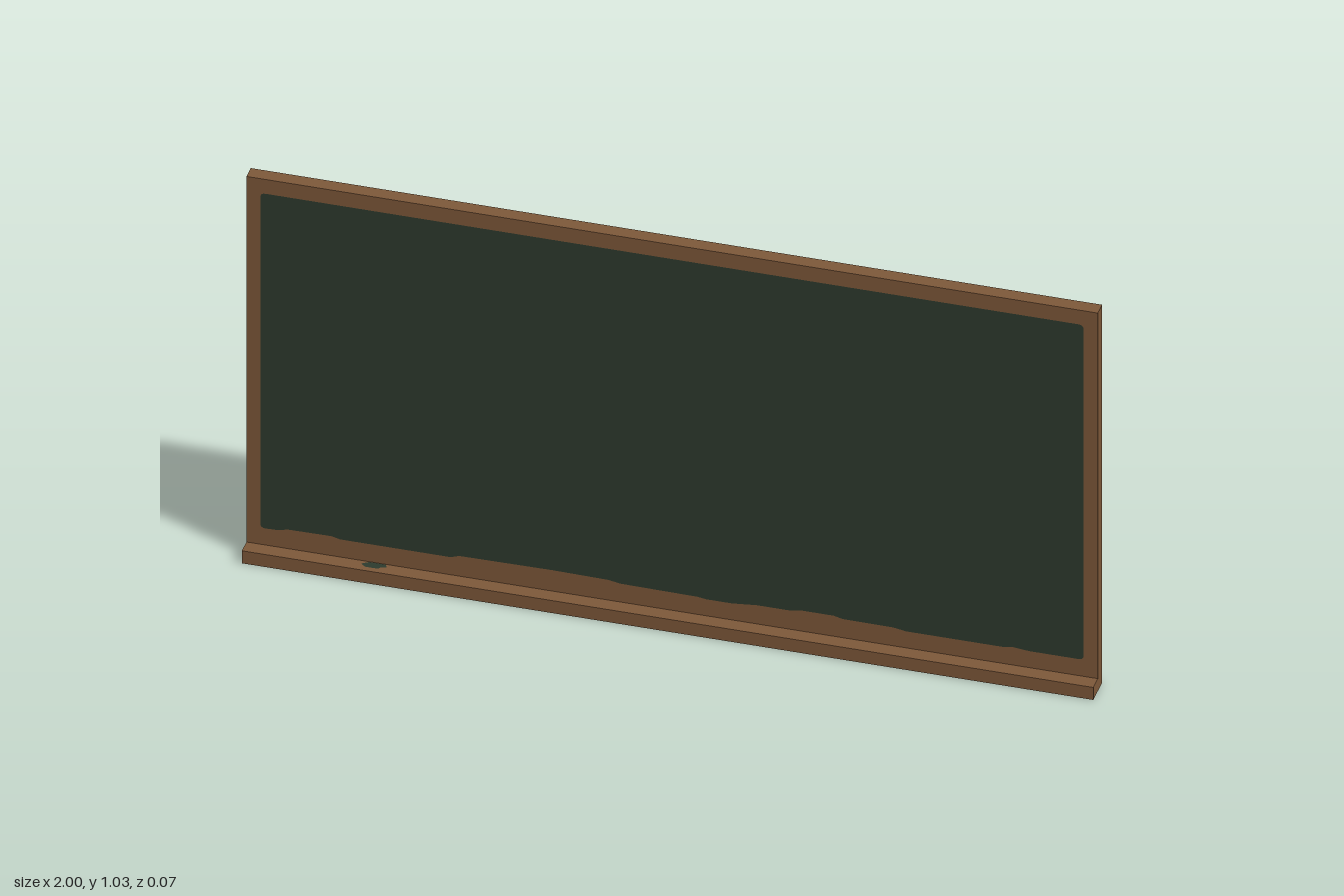
import * as THREE from 'three';

const wood = new THREE.MeshStandardMaterial({ name: 'brown wood', color: 0x7d5839 });
const slate = new THREE.MeshStandardMaterial({ name: 'dark green slate', color: 0x2d3a2e });

function add(group, name, geometry, material) {
  const mesh = new THREE.Mesh(geometry, material);
  mesh.name = name;
  group.add(mesh);
  return mesh;
}

export function createModel() {
  const group = new THREE.Group();
  group.name = 'chalkboard';

  // L-shaped wooden body: upright panel plus chalk tray, extruded along the width
  const profile = new THREE.Shape();
  [[0.036, 0], [0.036, 0], [0.036, 0.034], [-0.001, 0.034], [-0.001, 1.03], [-0.036, 1.03], [-0.036, 0]]
    .forEach(([z, y], i) => (i ? profile.lineTo(-z, y) : profile.moveTo(-z, y)));
  const body = new THREE.ExtrudeGeometry(profile, { depth: 2, bevelEnabled: false });
  body.translate(0, 0, -1).rotateY(Math.PI / 2);
  add(group, 'frameAndTray', body, wood);

  // Writing surface with softened corners and a slightly worn lower edge
  const w = 0.967, top = 0.992, c = 0.012;
  const lowerEdge = [
    [-0.93, 0.081], [-0.9, 0.087], [-0.8, 0.088], [-0.78, 0.083], [-0.52, 0.083], [-0.5, 0.09],
    [-0.28, 0.092], [-0.15, 0.09], [-0.12, 0.085], [0.06, 0.083], [0.08, 0.08], [0.14, 0.08],
    [0.2, 0.086], [0.28, 0.086], [0.3, 0.091], [0.38, 0.091], [0.4, 0.086], [0.52, 0.085],
    [0.55, 0.08], [0.78, 0.08], [0.8, 0.084], [0.84, 0.08],
  ];
  const surface = new THREE.Shape();
  surface.moveTo(-w + c, 0.08);
  lowerEdge.forEach(([x, y]) => surface.lineTo(x, y));
  surface.lineTo(w - c, 0.08);
  surface.quadraticCurveTo(w, 0.08, w, 0.08 + c);
  surface.lineTo(w, top - c);
  surface.quadraticCurveTo(w, top, w - c, top);
  surface.lineTo(-w + c, top);
  surface.quadraticCurveTo(-w, top, -w, top - c);
  surface.lineTo(-w, 0.08 + c);
  surface.quadraticCurveTo(-w, 0.08, -w + c, 0.08);
  add(group, 'writingSurface', new THREE.ShapeGeometry(surface, 4), slate).position.z = 0.0005;

  // Small green mark on the tray
  const mark = new THREE.Shape();
  [[-0.727, 0.012], [-0.715, 0.022], [-0.685, 0.022], [-0.68, 0.015], [-0.667, 0.012],
    [-0.672, 0.001], [-0.71, 0.001]]
    .forEach(([x, z], i) => (i ? mark.lineTo(x, -z) : mark.moveTo(x, -z)));
  const markGeometry = new THREE.ShapeGeometry(mark).rotateX(-Math.PI / 2);
  add(group, 'trayMark', markGeometry, slate).position.y = 0.0347;

  return group;
}
